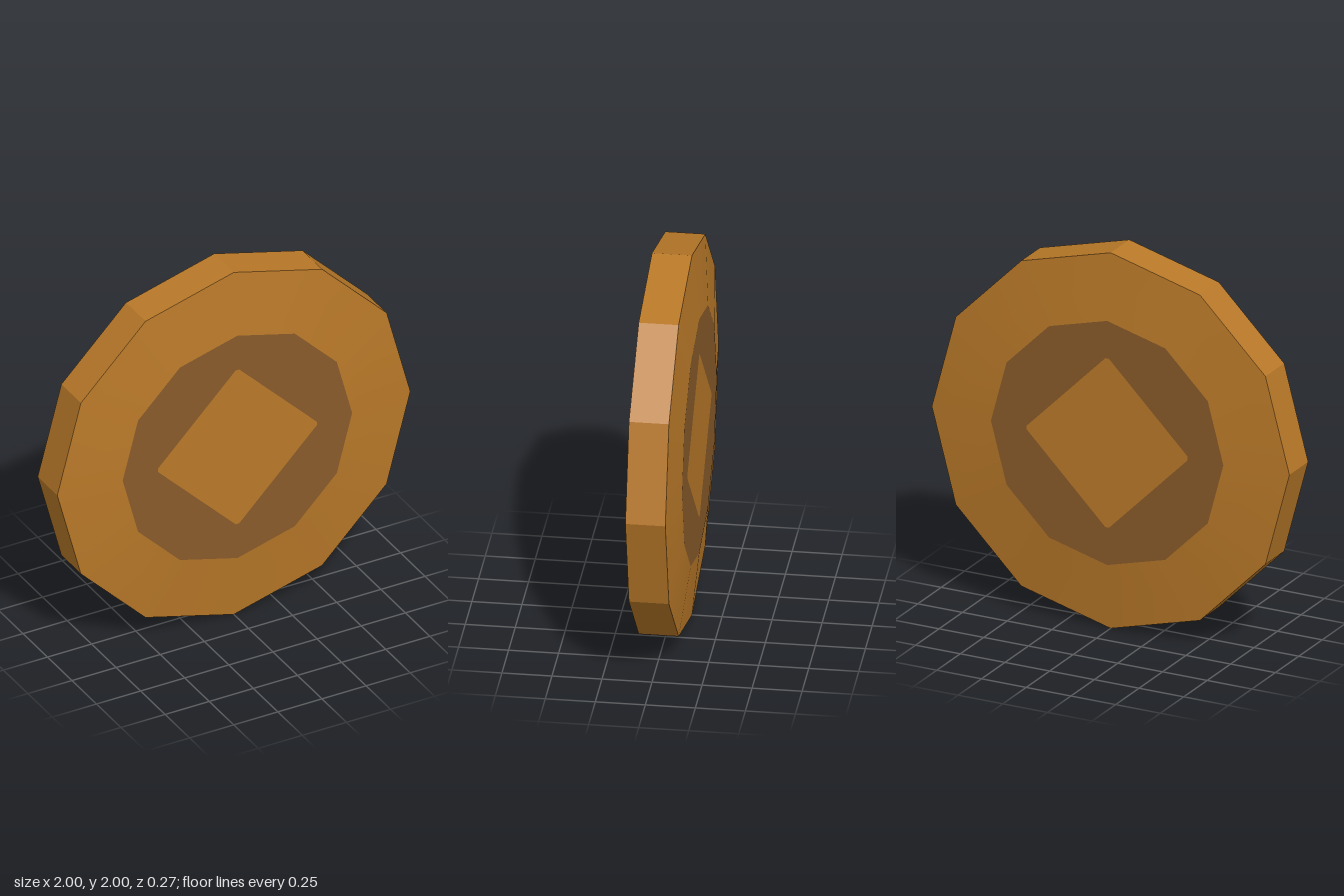
import * as THREE from 'three';

const SIDES = 12, R = 1, INNER = 0.65, RIM_Z = 0.1, FACE_Z = 0.137;

function material(name, color, extra = {}) {
  return Object.assign(new THREE.MeshStandardMaterial({ color, ...extra }), { name });
}

// Revolved band whose axis is turned to point along z
function band(points) {
  const g = new THREE.LatheGeometry(points.map(([r, h]) => new THREE.Vector2(r, h)), SIDES);
  return g.rotateX(Math.PI / 2);
}

export function createModel() {
  const bronze = material('bronze', 0xb87828);
  const bronzeRim = material('bronze rim', 0xb87828, { flatShading: true });
  const darkBronze = material('dark bronze', 0x885a2a);
  const model = new THREE.Group();
  model.name = 'coin';

  const add = (parent, name, geometry, mat) => {
    const mesh = new THREE.Mesh(geometry, mat);
    mesh.name = name;
    parent.add(mesh);
    return mesh;
  };

  // Faceted outer edge
  add(model, 'rim', band([[R, -RIM_Z], [R, RIM_Z]]), bronzeRim);

  // Diamond outline with slightly clipped corners
  const diamondPoints = [];
  for (let i = 0; i < 4; i++) {
    for (const [x, y] of [[0.45, -0.01], [0.45, 0.01], [0.437, 0.023]]) {
      const p = new THREE.Vector2(x, y);
      diamondPoints.push(p.rotateAround(new THREE.Vector2(), i * Math.PI / 2));
    }
    diamondPoints.push(new THREE.Vector2(0.023, 0.437).rotateAround(new THREE.Vector2(), i * Math.PI / 2));
  }

  // Dark inlay: twelve-sided disc with the diamond cut out
  const disc = new THREE.Shape();
  for (let i = 0; i < SIDES; i++) {
    const a = i * 2 * Math.PI / SIDES;
    const x = INNER * Math.cos(a), y = INNER * Math.sin(a);
    i ? disc.lineTo(x, y) : disc.moveTo(x, y);
  }
  disc.closePath();
  disc.holes.push(new THREE.Path(diamondPoints));

  // Both faces are alike
  for (const side of ['front', 'back']) {
    const face = new THREE.Group();
    face.name = side + 'Face';
    add(face, 'slopedBorder', band([[R, RIM_Z], [INNER, FACE_Z]]), bronze);
    add(face, 'inlay', new THREE.ShapeGeometry(disc).translate(0, 0, FACE_Z), darkBronze);
    add(face, 'diamond', new THREE.ShapeGeometry(new THREE.Shape(diamondPoints)).translate(0, 0, FACE_Z), bronze);
    if (side === 'back') face.rotation.y = Math.PI;
    model.add(face);
  }

  model.position.y = R;
  const root = new THREE.Group();
  root.name = 'coinModel';
  root.add(model);
  return root;
}
